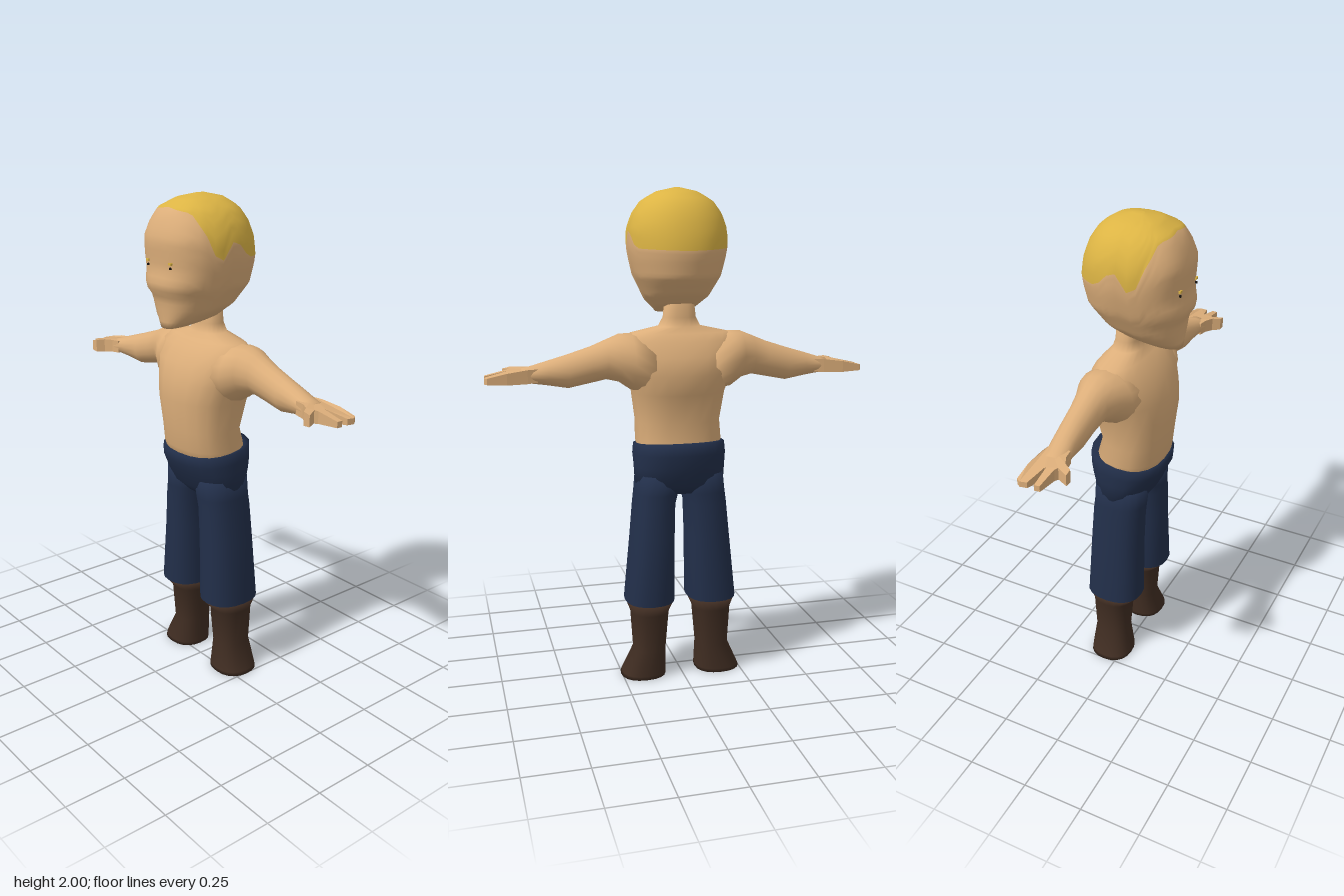
import * as THREE from 'three';

const paint = (name, hex) => {
  const m = new THREE.MeshStandardMaterial({ color: hex });
  m.name = name;
  return m;
};

// Piecewise linear lookup: rows are [key, ...values], keys ascending
function lookup(rows, k) {
  let i = 0;
  while (i < rows.length - 2 && k > rows[i + 1][0]) i++;
  const t = THREE.MathUtils.clamp((k - rows[i][0]) / (rows[i + 1][0] - rows[i][0]), 0, 1);
  return rows[i].slice(1).map((v, j) => v + (rows[i + 1][j + 1] - v) * t);
}

// Skin closed rings of equal size, with a fan at each end
function loft(rings) {
  const n = rings[0].length, pos = [], idx = [];
  rings.forEach(r => r.forEach(p => pos.push(...p)));
  for (let i = 0; i < rings.length - 1; i++) {
    for (let j = 0; j < n; j++) {
      const a = i * n + j, b = i * n + (j + 1) % n;
      idx.push(a, b, b + n, a, b + n, a + n);
    }
  }
  [0, rings.length - 1].forEach((e, k) => {
    const c = pos.length / 3;
    pos.push(...[0, 1, 2].map(d => rings[e].reduce((s, p) => s + p[d], 0) / n));
    for (let j = 0; j < n; j++) {
      const a = e * n + j, b = e * n + (j + 1) % n;
      if (k) idx.push(a, b, c); else idx.push(b, a, c);
    }
  });
  const g = new THREE.BufferGeometry();
  g.setAttribute('position', new THREE.Float32BufferAttribute(pos, 3));
  g.setIndex(idx);
  g.computeVertexNormals();
  return g;
}

const pow = (v, p) => Math.sign(v) * Math.abs(v) ** p;
const turn = (n, f) => Array.from({ length: n }, (_, j) => f(j / n * Math.PI * 2));

// Upright section: height, x range, z range (back, front), slope along z, squareness
const level = ([y, x0, x1, z0, z1, slope = 0, p = 0.85]) => turn(20, a => {
  const z = (z0 + z1) / 2 + pow(Math.cos(a), p) * (z1 - z0) / 2;
  return [(x0 + x1) / 2 + pow(Math.sin(a), p) * (x1 - x0) / 2, y + slope * z, z];
});

// Section across the arm: x, y range, z range
const across = ([x, y0, y1, z0, z1]) => turn(16, a => [
  x, (y0 + y1) / 2 + Math.cos(a) * (y1 - y0) / 2, (z0 + z1) / 2 + Math.sin(a) * (z1 - z0) / 2]);

function mirrored(geo) {
  const g = geo.clone().scale(-1, 1, 1);
  const idx = g.index ? Array.from(g.index.array) : Array.from({ length: g.attributes.position.count }, (_, i) => i);
  for (let i = 0; i < idx.length; i += 3) [idx[i + 1], idx[i + 2]] = [idx[i + 2], idx[i + 1]];
  g.setIndex(idx);
  return g;
}

// Head profile: height, half width, back z, front z
const HEAD = [
  [1.50, 0.075, 0.09 - 0.17, 0.18], [1.55, 0.125, -0.14, 0.183], [1.62, 0.155, -0.18, 0.19],
  [1.66, 0.172, -0.198, 0.218], [1.73, 0.19, -0.213, 0.202], [1.77, 0.197, -0.217, 0.205],
  [1.84, 0.197, -0.203, 0.21], [1.90, 0.176, -0.18, 0.188], [1.95, 0.14, -0.145, 0.16],
  [1.985, 0.08, -0.09, 0.09], [2.0, 0.012, -0.02, 0.02],
];
// Hairline: angle from the front, height
const HAIRLINE = [
  [0, 1.955], [0.75, 1.94], [1.08, 1.87], [1.25, 1.79], [1.42, 1.77],
  [1.57, 1.835], [1.75, 1.82], [1.95, 1.77], [3.15, 1.762],
];

function headPoint(a, y) {
  const [w, zb, zf] = lookup(HEAD, y);
  const c = Math.cos(a), p = c > 0 ? 0.82 : 0.95;
  const z = c > 0 ? pow(c, p) * zf : -pow(c, p) * zb;
  const jaw = 0.19 * THREE.MathUtils.clamp((1.66 - y) / 0.16, 0, 1);
  return [pow(Math.sin(a), p) * w, y + jaw * (0.18 - z), z];
}

function headGeometry() {
  const n = 40, low = 18, high = 12, rings = [];
  for (let i = 0; i <= low + high; i++) {
    rings.push(turn(n, a => {
      const [line] = lookup(HAIRLINE, Math.min(a, Math.PI * 2 - a));
      const t = (i - low) / high;
      const y = i <= low ? 1.5 + (line - 1.5) * i / low : line + (2 - line) * (1 - (1 - t) ** 2);
      return headPoint(a, y);
    }));
  }
  const g = loft(rings);
  const skinEnd = low * n * 6, hairEnd = (low + high) * n * 6;
  g.addGroup(0, skinEnd, 0);
  g.addGroup(skinEnd, hairEnd - skinEnd, 1);
  g.addGroup(hairEnd, n * 3, 0);
  g.addGroup(hairEnd + n * 3, n * 3, 1);
  return g;
}

// Flat hand with two finger groups and a thumb, thinning to the tips
function handGeometry() {
  const outline = [
    [0.57, -0.07], [0.61, -0.077], [0.69, -0.086], [0.765, -0.085], [0.775, -0.07], [0.77, -0.042],
    [0.69, -0.022], [0.685, -0.016], [0.772, -0.014], [0.77, 0.008], [0.685, 0.016], [0.672, 0.024],
    [0.695, 0.068], [0.665, 0.068], [0.645, 0.038], [0.61, 0.02], [0.57, 0.015]];
  const g = new THREE.ExtrudeGeometry(new THREE.Shape(outline.map(p => new THREE.Vector2(...p))),
    { depth: 1, bevelEnabled: false });
  g.rotateX(Math.PI / 2);
  const p = g.attributes.position;
  for (let i = 0; i < p.count; i++) {
    const [mid, half] = lookup([[0.57, 1.288, 0.026], [0.65, 1.284, 0.028], [0.775, 1.274, 0.011]], p.getX(i));
    p.setY(i, mid + (p.getY(i) + 0.5) * 2 * half);
  }
  g.computeVertexNormals();
  return g;
}

export function createModel() {
  const model = new THREE.Group();
  model.name = 'figure';
  const skin = paint('skin', 0xdcae7a), hair = paint('blond hair', 0xdcb444);
  const denim = paint('navy trousers', 0x222f4a), leather = paint('brown boots', 0x402d22);
  const black = paint('black pupil', 0x15120f);

  const add = (name, geo, mat) => {
    const m = new THREE.Mesh(geo, mat);
    m.name = name;
    model.add(m);
  };
  const pair = (name, geo, mat) => {
    add('left' + name, geo, mat);
    add('right' + name, mirrored(geo), mat);
  };

  // Head and eyes
  add('headAndHair', headGeometry(), [skin, hair]);
  pair('Eye', new THREE.BoxGeometry(0.016, 0.009, 0.008).translate(0.07, 1.757, 0.199), hair);
  pair('Pupil', new THREE.BoxGeometry(0.007, 0.008, 0.008).translate(0.07, 1.74, 0.199), black);

  // Torso and neck
  add('torso', loft([
    [0.93, -0.165, 0.165, -0.14, 0.1], [1.0, -0.176, 0.176, -0.155, 0.122], [1.08, -0.174, 0.174, -0.132, 0.13],
    [1.2, -0.19, 0.19, -0.165, 0.145], [1.28, -0.215, 0.215, -0.188, 0.135], [1.35, -0.235, 0.235, -0.172, 0.115],
    [1.41, -0.235, 0.235, -0.145, 0.075], [1.44, -0.2, 0.2, -0.12, 0.045], [1.465, -0.085, 0.085, -0.1, 0.02],
    [1.5, -0.066, 0.066, -0.09, 0.008], [1.6, -0.055, 0.055, -0.085, 0.01],
  ].map(level)), skin);

  // Arms and hands
  pair('Arm', loft([
    [0.12, 1.2, 1.43, -0.165, 0.1], [0.2, 1.215, 1.442, -0.162, 0.075], [0.25, 1.25, 1.44, -0.14, 0.045],
    [0.3, 1.262, 1.42, -0.12, 0.02], [0.36, 1.25, 1.395, -0.111, 0.012], [0.45, 1.232, 1.366, -0.102, 0.01],
    [0.53, 1.245, 1.342, -0.088, 0.013], [0.6, 1.254, 1.32, -0.075, 0.02], [0.63, 1.258, 1.314, -0.07, 0.014],
  ].map(across)), skin);
  pair('Hand', handGeometry(), skin);

  // Trousers
  add('hips', loft([
    [0.79, -0.13, 0.13, -0.12, 0.04], [0.83, -0.185, 0.185, -0.15, 0.078], [0.9, -0.187, 0.187, -0.175, 0.108],
    [0.945, -0.19, 0.19, -0.184, 0.125, -0.08], [0.988, -0.185, 0.185, -0.186, 0.13, -0.11],
    [0.99, -0.17, 0.17, -0.15, 0.11, -0.11],
  ].map(level)), denim);
  pair('TrouserLeg', loft([
    [0.325, 0.04, 0.222, -0.155, 0.065], [0.33, 0.028, 0.234, -0.166, 0.074], [0.6, 0.026, 0.207, -0.155, 0.071],
    [0.74, 0.022, 0.194, -0.148, 0.073], [0.79, 0.008, 0.188, -0.145, 0.074], [0.87, 0.0, 0.18, -0.145, 0.08],
  ].map(level)), denim);

  // Boots with toes turned outward
  pair('Boot', loft([
    [0, 0.066, 0.255, -0.14, 0.04], [0.015, 0.066, 0.25, -0.14, 0.039], [0.12, 0.068, 0.202, -0.135, 0.016],
    [0.28, 0.054, 0.212, -0.142, 0.028], [0.328, 0.032, 0.23, -0.163, 0.071],
  ].map(level)), leather);

  return model;
}
